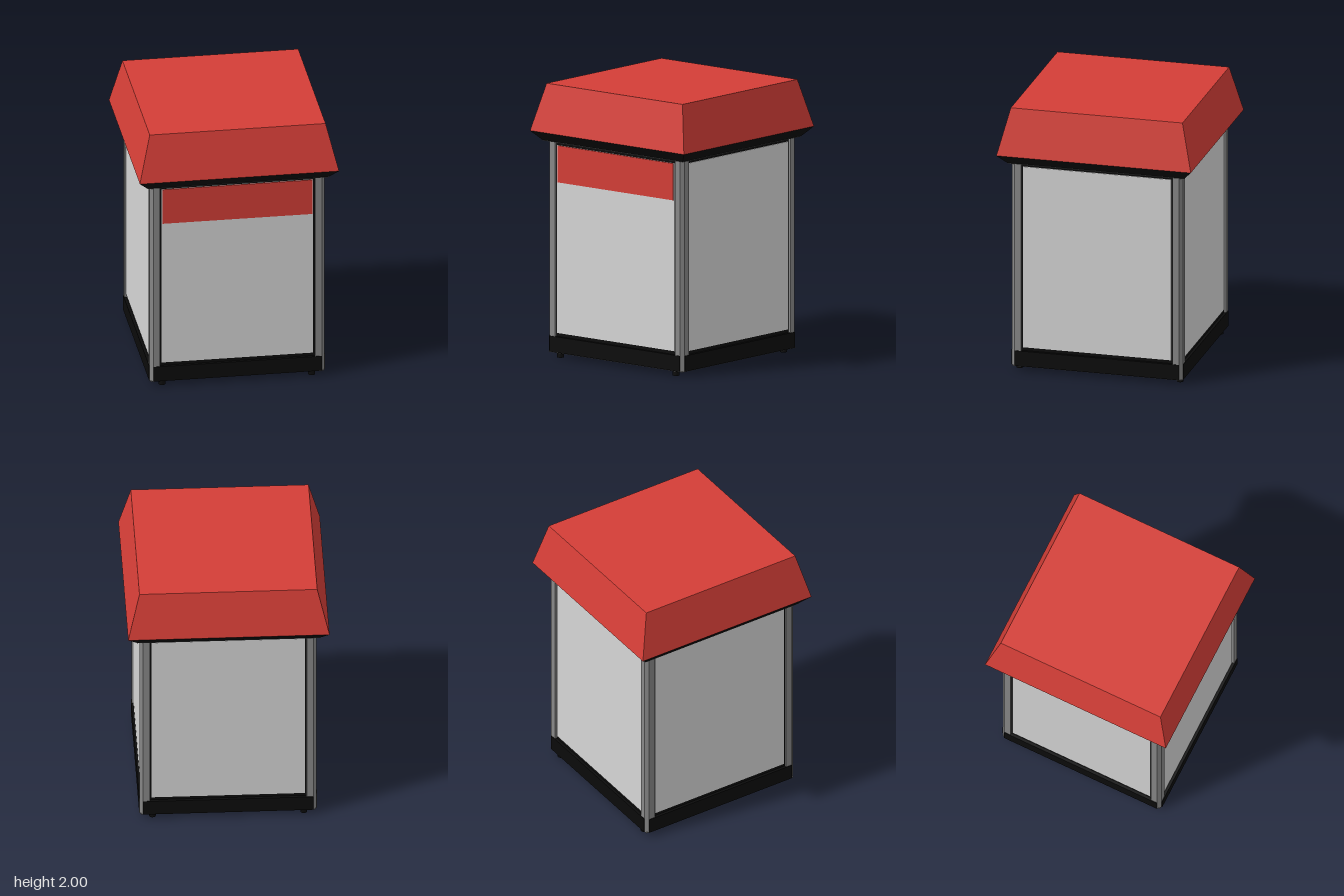
import * as THREE from 'three';

const mat = (name, color) => {
  const m = new THREE.MeshStandardMaterial({ color });
  m.name = name;
  return m;
};

export function createModel() {
  const red = mat('red', 0xd43e37);
  const black = mat('black', 0x0b0b0b);
  const grey = mat('metal grey', 0x888888);
  const light = mat('light panel', 0xd6d6d6);

  const model = new THREE.Group();
  model.name = 'kiosk';

  const add = (parent, name, geometry, material, x = 0, y = 0, z = 0) => {
    const mesh = new THREE.Mesh(geometry, material);
    mesh.name = name;
    mesh.position.set(x, y, z);
    parent.add(mesh);
    return mesh;
  };
  const box = (parent, name, material, w, h, d, x, y, z) =>
    add(parent, name, new THREE.BoxGeometry(w, h, d), material, x, y, z);

  // Square frustum with crisp edges, from half-widths and heights
  const frustum = (topHalf, bottomHalf, y0, y1, open) => {
    const g = new THREE.CylinderGeometry(topHalf * Math.SQRT2, bottomHalf * Math.SQRT2, y1 - y0, 4, 1, open)
      .rotateY(Math.PI / 4).translate(0, (y0 + y1) / 2, 0).toNonIndexed();
    g.computeVertexNormals();
    return g;
  };

  // Roof with its dark undercut trim and soffit
  add(model, 'roof', frustum(0.64, 0.725, 1.655, 2, false), red);
  add(model, 'roofTrim', frustum(0.725, 0.66, 1.585, 1.655, true), black);
  box(model, 'soffit', grey, 1.32, 0.005, 1.32, 0, 1.5835, 0);

  // Dark body behind the panels, and the floor plate
  box(model, 'bodyFrame', black, 1.24, 1.54, 1.24, 0, 0.811, 0);
  box(model, 'floor', grey, 1.26, 0.006, 1.26, 0, 0.038, 0);

  // Chamfered corner posts
  const o = 0.637, i = 0.565, c = 0.024;
  const section = new THREE.Shape([[i, i], [o, i], [o, o - c], [o - c, o], [i, o]]
    .map(([x, y]) => new THREE.Vector2(x, y)));
  const postGeometry = new THREE.ExtrudeGeometry(section, { depth: 1.545, bevelEnabled: false })
    .rotateX(-Math.PI / 2).translate(0, 0.037, 0);

  // One panel, base rail and post on each of the four sides
  for (let k = 0; k < 4; k++) {
    const side = new THREE.Group();
    side.name = ['frontSide', 'leftSide', 'backSide', 'rightSide'][k];
    side.rotation.y = k * Math.PI / 2;
    model.add(side);
    box(side, 'panel', light, 1.104, 1.375, 0.008, 0, 0.868, 0.622);
    box(side, 'baseRail', black, 1.226, 0.115, 0.03, 0, 0.0975, 0.626);
    add(side, 'cornerPost', postGeometry, grey);
  }

  // Red sign board at the top of the front panel
  box(model, 'signBoard', red, 1.09, 0.27, 0.008, 0, 1.42, 0.629);

  // Short round feet
  for (const x of [-0.545, 0.545]) for (const z of [-0.598, 0.598])
    add(model, 'foot', new THREE.CylinderGeometry(0.025, 0.025, 0.04, 16), black, x, 0.02, z);

  return model;
}
